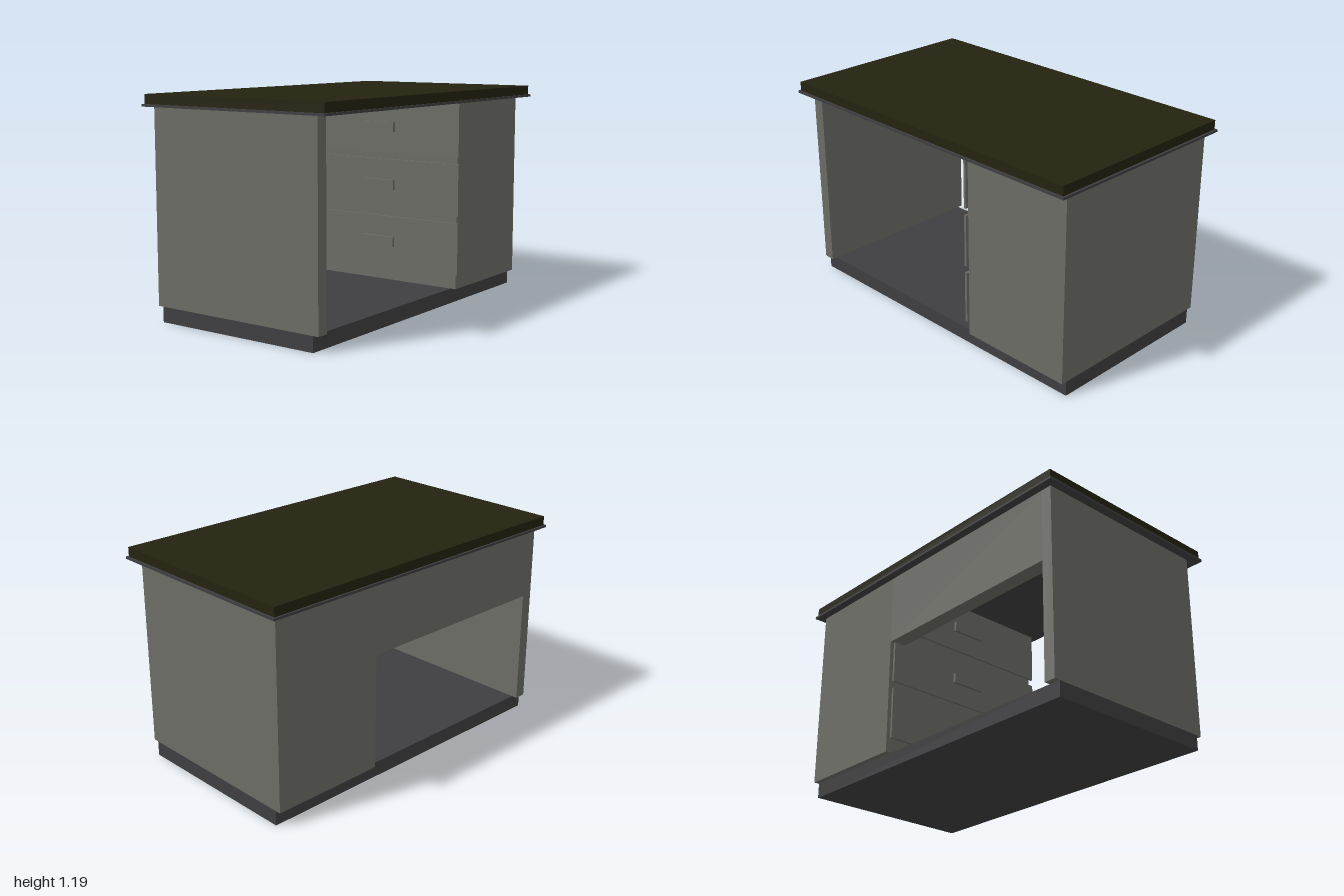
import * as THREE from 'three';

const grey = new THREE.MeshStandardMaterial({ name: 'cabinetGrey', color: 0x6c6c66 });
const charcoal = new THREE.MeshStandardMaterial({ name: 'charcoal', color: 0x3f3f41 });
const olive = new THREE.MeshStandardMaterial({ name: 'darkOliveTop', color: 0x24220f });

// Box given by its extents on each axis
function block(name, material, [x0, x1], [y0, y1], [z0, z1]) {
  const mesh = new THREE.Mesh(new THREE.BoxGeometry(x1 - x0, y1 - y0, z1 - z0), material);
  mesh.position.set((x0 + x1) / 2, (y0 + y1) / 2, (z0 + z1) / 2);
  mesh.name = name;
  return mesh;
}

export function createModel() {
  const desk = new THREE.Group();
  desk.name = 'desk';

  const bodyY = [0.083, 1.126];
  const bodyZ = [-0.542, 0.512];

  // Recessed plinth, which is also the kneehole floor
  desk.add(block('plinth', charcoal, [-0.955, 0.955], [0, 0.083], [-0.51, 0.48]));

  // Side panel, solid pedestal and the back panel between them
  desk.add(block('sidePanel', grey, [-0.955, -0.89], bodyY, bodyZ));
  desk.add(block('pedestal', grey, [0.295, 0.955], bodyY, bodyZ));
  desk.add(block('backPanel', grey, [-0.89, 0.295], [0.728, 1.126], [-0.542, -0.457]));

  // Three drawers on the kneehole side of the pedestal
  for (let i = 0; i < 3; i++) {
    const y = 0.31 + i * 0.33;
    const drawer = new THREE.Group();
    drawer.name = 'drawer' + (i + 1);
    drawer.add(block('drawerFront', grey, [0.281, 0.295], [y - 0.145, y + 0.145], [-0.52, 0.528]));
    drawer.add(block('drawerHandle', grey, [0.264, 0.281], [y - 0.028, y + 0.028], [-0.1, 0.108]));
    desk.add(drawer);
  }

  // Worktop on its thin overhanging trim
  desk.add(block('topTrim', charcoal, [-1, 1], [1.126, 1.139], [-0.587, 0.587]));
  desk.add(block('worktop', olive, [-0.988, 0.988], [1.139, 1.19], [-0.577, 0.577]));

  return desk;
}
